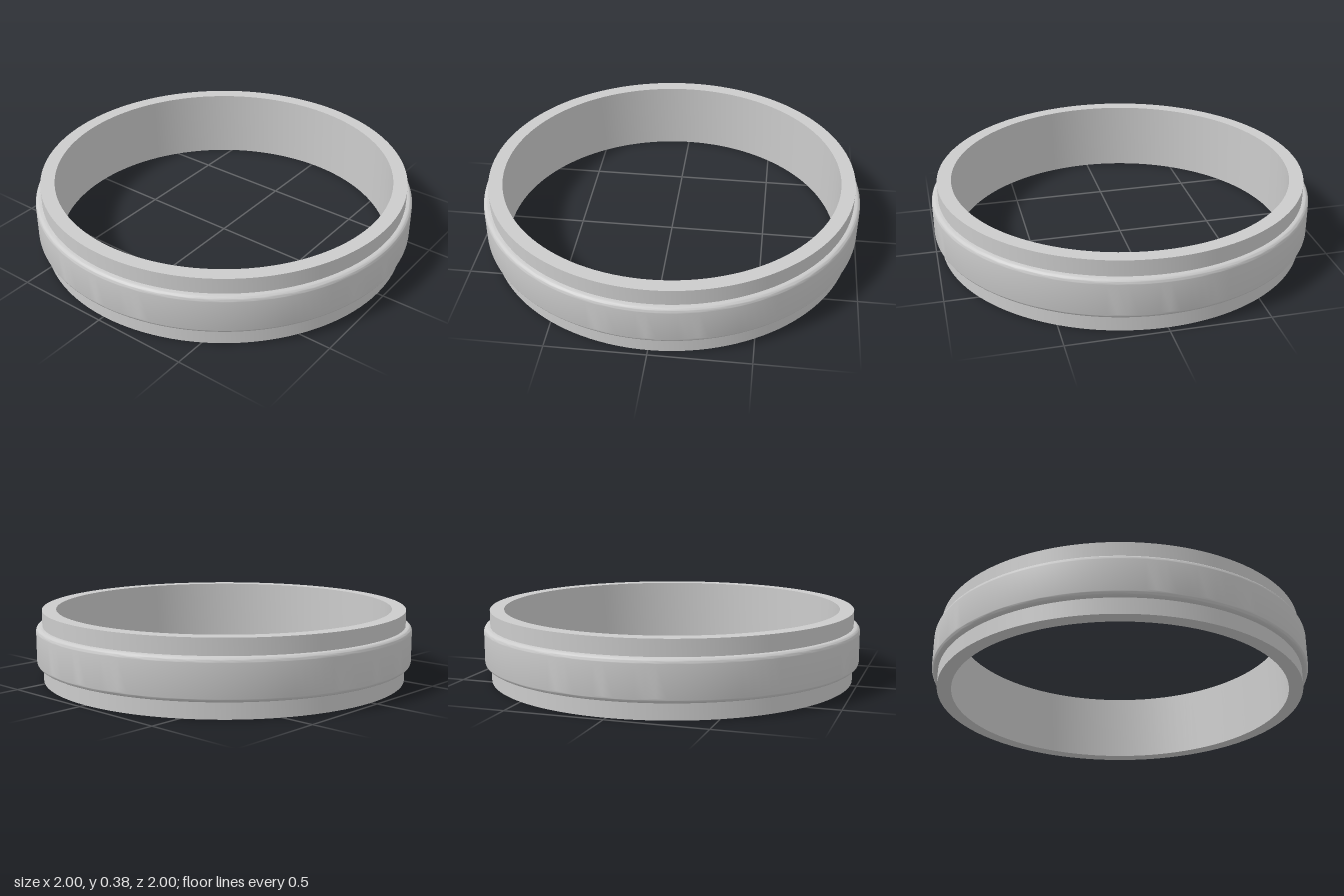
import * as THREE from 'three';
import { toCreasedNormals } from 'three/addons/utils/BufferGeometryUtils.js';

const SEGMENTS = 128;

// Revolve a closed counter-clockwise (radius, height) outline about the y axis
function revolve(name, shape, material) {
  const outline = shape.getPoints(6);
  if (!outline[0].equals(outline[outline.length - 1])) outline.push(outline[0].clone());
  const geometry = toCreasedNormals(new THREE.LatheGeometry(outline, SEGMENTS), Math.PI / 6);
  const mesh = new THREE.Mesh(geometry, material);
  mesh.name = name;
  return mesh;
}

export function createModel() {
  const group = new THREE.Group();
  group.name = 'ring';
  const material = new THREE.MeshStandardMaterial({ color: 0xcccccc });

  // Plain inner ring with square edges
  const inner = 0.893, outer = 0.967, height = 0.375;
  const core = new THREE.Shape();
  core.moveTo(inner, 0);
  core.lineTo(outer, 0);
  core.lineTo(outer, height);
  core.lineTo(inner, height);
  core.lineTo(inner, 0);
  group.add(revolve('innerRing', core, material));

  // Raised centre band with rounded outer edges, seated into the ring
  const seat = 0.95, rim = 1, low = 0.083, high = 0.292, round = 0.025;
  const band = new THREE.Shape();
  band.moveTo(seat, low);
  band.lineTo(rim - round, low);
  band.absarc(rim - round, low + round, round, -Math.PI / 2, 0, false);
  band.lineTo(rim, high - round);
  band.absarc(rim - round, high - round, round, 0, Math.PI / 2, false);
  band.lineTo(seat, high);
  band.lineTo(seat, low);
  group.add(revolve('outerBand', band, material));

  return group;
}
